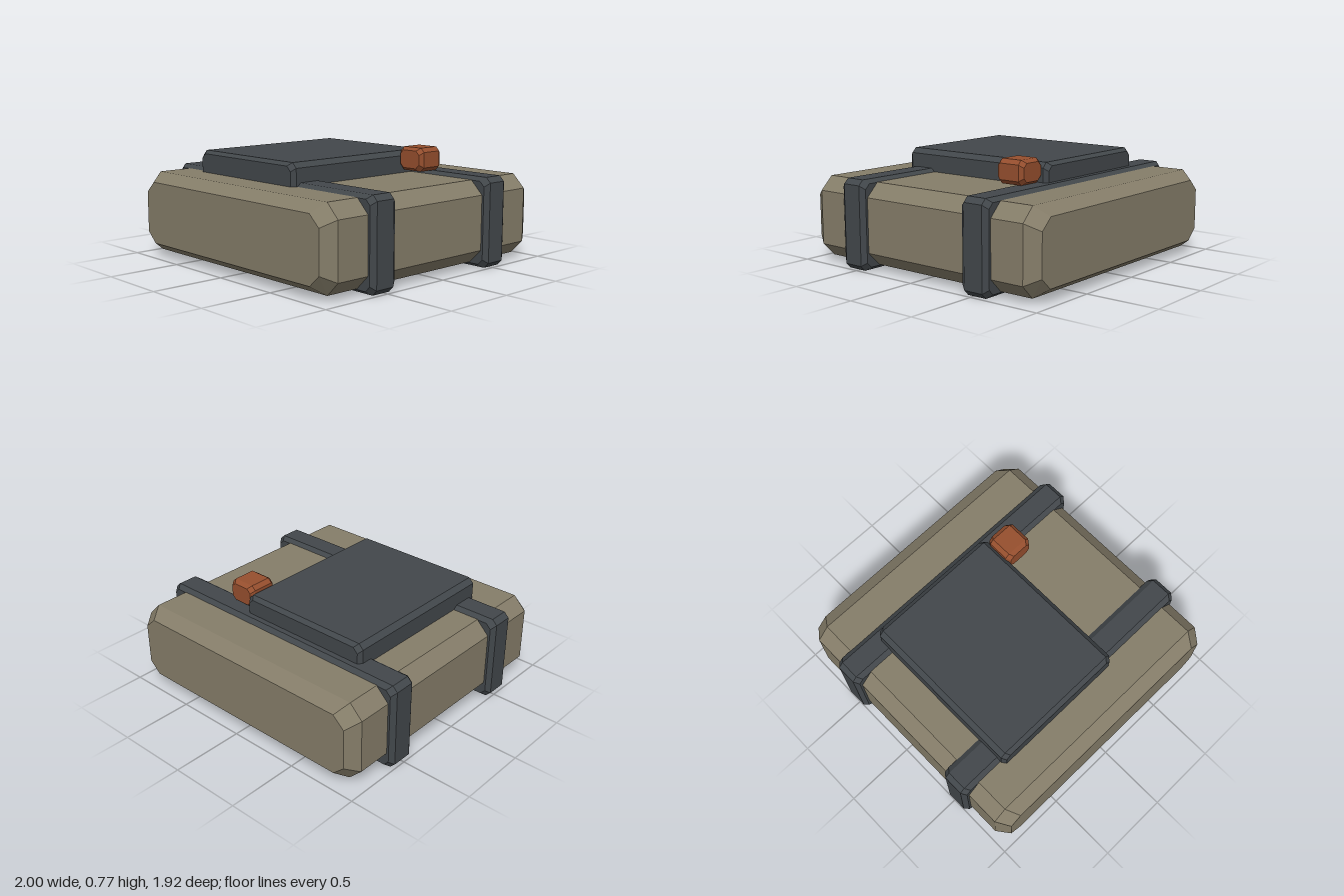
import * as THREE from 'three';
import { ConvexGeometry } from 'three/addons/geometries/ConvexGeometry.js';

const flat = (name, color) => {
  const m = new THREE.MeshStandardMaterial({ color, flatShading: true });
  m.name = name;
  return m;
};

// Octagonal ring of corners: half width w, half height h, corner cuts cx and cy
function ring(w, h, cx, cy, z) {
  const points = [];
  for (const sx of [-1, 1]) for (const sy of [-1, 1]) {
    points.push(new THREE.Vector3(sx * w, sy * (h - cy), z));
    points.push(new THREE.Vector3(sx * (w - cx), sy * h, z));
  }
  return points;
}

// Box with cut corners and bevelled ends, given by its min and max corners.
// cut: corner cut, inset: shrink of the end faces, depth: bevel length along z,
// endCut: corner cut [x, y] of the end faces
function bevelledBox(name, material, min, max, { cut, inset, depth, endCut = [cut, cut] }) {
  const [w, h, d] = max.map((v, i) => (v - min[i]) / 2);
  const points = [];
  for (const s of [-1, 1]) {
    points.push(...ring(w, h, cut, cut, s * (d - depth)));
    points.push(...ring(w - inset, h - inset, ...endCut, s * d));
  }
  const mesh = new THREE.Mesh(new ConvexGeometry(points), material);
  mesh.name = name;
  mesh.position.set(...max.map((v, i) => (v + min[i]) / 2));
  return mesh;
}

export function createModel() {
  const canvas = flat('khaki canvas', 0x857d69);
  const webbing = flat('dark slate webbing', 0x42474b);
  const rust = flat('rust orange', 0x964f2e);

  const model = new THREE.Group();
  model.name = 'strappedPack';

  // Main padded body
  model.add(bevelledBox('body', canvas, [-0.96, 0.03, -0.96], [0.96, 0.585, 0.96],
    { cut: 0.092, inset: 0.062, depth: 0.092, endCut: [0.082, 0.075] }));

  // Two straps wrapped around the body
  for (const [name, z] of [['frontStrap', 0.523], ['backStrap', -0.523]]) {
    model.add(bevelledBox(name, webbing, [-1, 0, z - 0.105], [1, 0.608, z + 0.105],
      { cut: 0.035, inset: 0.025, depth: 0.035 }));
  }

  // Flat panel on top, sunk a little into the body
  model.add(bevelledBox('topPanel', webbing, [-0.673, 0.53, -0.555], [0.32, 0.737, 0.663],
    { cut: 0.034, inset: 0.022, depth: 0.03 }));

  // Small buckle beside the panel
  model.add(bevelledBox('buckle', rust, [0.31, 0.608, -0.515], [0.522, 0.77, -0.303],
    { cut: 0.028, inset: 0.02, depth: 0.03 }));

  return model;
}
